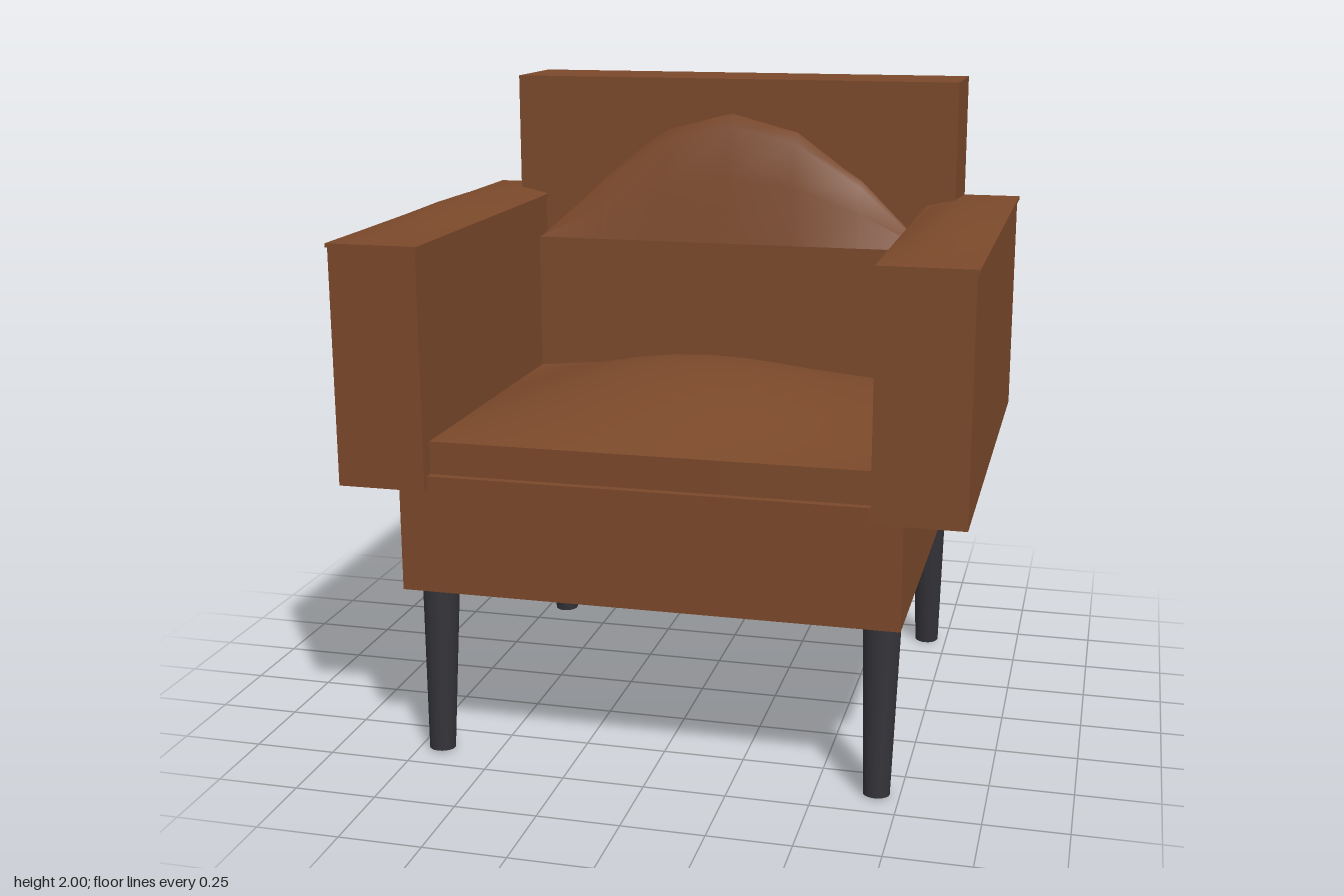
import * as THREE from 'three';

const leather = new THREE.MeshStandardMaterial({ color: 0x7a482a });
const dark = new THREE.MeshStandardMaterial({ color: 0x333338 });

// Box given by its limits on each axis
function block(name, [x0, x1], [y0, y1], [z0, z1], segments = 1) {
  const geo = new THREE.BoxGeometry(x1 - x0, y1 - y0, z1 - z0, segments, 1, segments);
  const mesh = new THREE.Mesh(geo, leather);
  mesh.position.set((x0 + x1) / 2, (y0 + y1) / 2, (z0 + z1) / 2);
  mesh.name = name;
  return mesh;
}

// Box whose top face swells into a soft dome
function cushion(name, x, y, z, rise, segments) {
  const mesh = block(name, x, y, z, segments);
  const pos = mesh.geometry.attributes.position;
  const w = x[1] - x[0], h = y[1] - y[0], d = z[1] - z[0];
  for (let i = 0; i < pos.count; i++) {
    if (pos.getY(i) < h / 2 - 1e-4) continue;
    const bulge = Math.cos(Math.PI * pos.getX(i) / w) * Math.cos(Math.PI * pos.getZ(i) / d);
    pos.setY(i, h / 2 + rise * Math.max(0, bulge));
  }
  mesh.geometry.computeVertexNormals();
  return mesh;
}

export function createModel() {
  const chair = new THREE.Group();
  chair.name = 'armchair';

  // Base, backrest and the two soft cushions
  chair.add(
    block('base', [-0.75, 0.75], [0.55, 0.91], [-0.725, 0.725]),
    block('backrest', [-0.75, 0.75], [0.89, 2], [-0.75, -0.43]),
    cushion('seatCushion', [-0.66, 0.66], [0.9, 1.01], [-0.45, 0.7], 0.15, 12),
    cushion('backCushion', [-0.66, 0.66], [0.95, 1.46], [-0.53, -0.345], 0.44, 6)
  );

  for (const side of [-1, 1]) {
    const label = side > 0 ? 'left' : 'right';
    const span = (a, b) => (side > 0 ? [a, b] : [-b, -a]);

    // Armrest with a slightly wider padded top
    const arm = new THREE.Group();
    arm.name = label + 'Armrest';
    arm.add(
      block('armPanel', span(0.66, 0.93), [0.87, 1.59], [-0.75, 0.75]),
      cushion('armPad', span(0.655, 0.937), [1.585, 1.597], [-0.75, 0.75], 0.042, 6)
    );
    chair.add(arm);

    // Tapered legs splayed forward and backward
    for (const end of [-1, 1]) {
      const leg = new THREE.Mesh(new THREE.CylinderGeometry(0.057, 0.04, 0.55, 20), dark);
      leg.position.set(side * 0.681, 0.277, end * 0.613);
      leg.rotation.x = -end * 0.07;
      leg.name = label + (end > 0 ? 'FrontLeg' : 'BackLeg');
      chair.add(leg);
    }
  }
  return chair;
}
